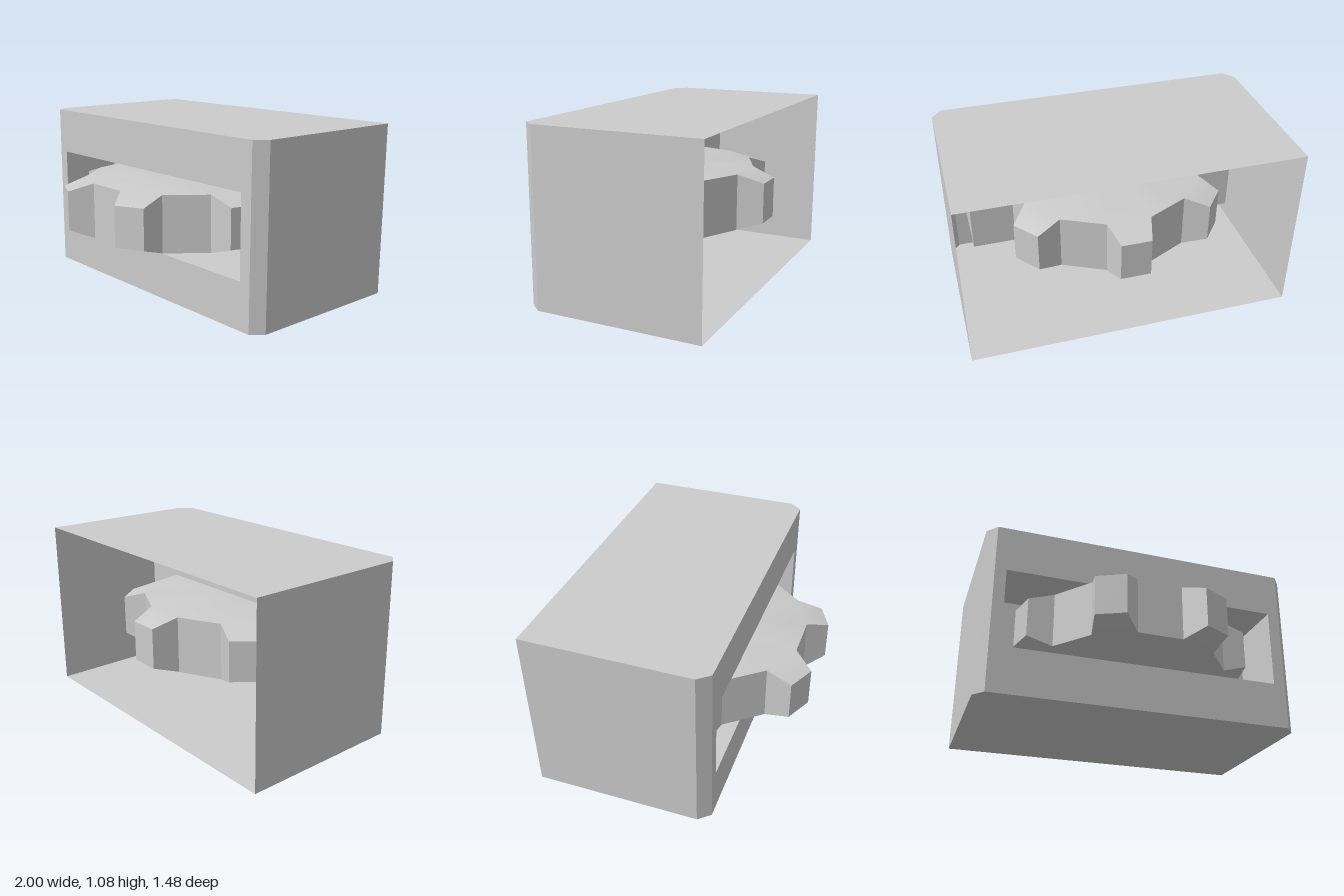
import * as THREE from 'three';
import { toCreasedNormals } from 'three/addons/utils/BufferGeometryUtils.js';

const H = 1.075, BACK = -0.738, FRONT = 0.355, RECESS = -0.05;
const HOLE = { x0: -0.87, x1: 0.865, y0: 0.288, y1: 0.786 };

const shellMat = new THREE.MeshStandardMaterial({ color: 0xcccccc, side: THREE.DoubleSide });
const gearMat = new THREE.MeshStandardMaterial({ color: 0xcccccc });

function add(group, name, geometry, material) {
  const mesh = new THREE.Mesh(geometry, material);
  mesh.name = name;
  group.add(mesh);
  return mesh;
}

// Builds flat-faced geometry from convex polygons given as corner loops
function fromPolygons(polygons) {
  const pos = [];
  for (const p of polygons)
    for (let i = 1; i < p.length - 1; i++) pos.push(...p[0], ...p[i], ...p[i + 1]);
  const geo = new THREE.BufferGeometry();
  geo.setAttribute('position', new THREE.Float32BufferAttribute(pos, 3));
  geo.computeVertexNormals();
  return geo;
}

function createHousing() {
  const g = new THREE.Group();
  g.name = 'housing';

  // Plan outline with chamfered front corners, open at the rear
  const plan = [[-1, BACK], [-1, 0.283], [-0.94, FRONT], [0.94, FRONT], [1, 0.283], [1, BACK]];
  add(g, 'roof', fromPolygons([plan.map(([x, z]) => [x, H, z])]), shellMat);
  add(g, 'floor', fromPolygons([plan.map(([x, z]) => [x, 0, z]).reverse()]), shellMat);

  // Side walls and corner chamfers
  const wall = (a, b) => [[a[0], 0, a[1]], [b[0], 0, b[1]], [b[0], H, b[1]], [a[0], H, a[1]]];
  add(g, 'rightWall', fromPolygons([wall(plan[0], plan[1]), wall(plan[1], plan[2])]), shellMat);
  add(g, 'leftWall', fromPolygons([wall(plan[3], plan[4]), wall(plan[4], plan[5])]), shellMat);

  // Front face with the window cut out
  const { x0, x1, y0, y1 } = HOLE;
  const rim = [[x0, y0], [x1, y0], [x1, y1], [x0, y1]];
  const vectors = (points) => points.map(([x, y]) => new THREE.Vector2(x, y));
  const face = new THREE.Shape(vectors([[-0.94, 0], [0.94, 0], [0.94, H], [-0.94, H]]));
  face.holes.push(new THREE.Path(vectors(rim).reverse()));
  add(g, 'frontFace', new THREE.ShapeGeometry(face), shellMat).position.z = FRONT;

  // Recess behind the window: four walls and a back
  add(g, 'recessWalls', fromPolygons(rim.map((a, i) => {
    const b = rim[(i + 1) % 4];
    return [[...a, FRONT], [...b, FRONT], [...b, RECESS], [...a, RECESS]];
  })), shellMat);
  add(g, 'recessBack', fromPolygons([rim.map((p) => [...p, RECESS])]), shellMat);
  return g;
}

function createGear() {
  const teeth = 7, root = 0.615, tip = 0.759, rootY = 0.173, tipY = 0.123;
  const deg = Math.PI / 180, pitch = 2 * Math.PI / teeth;
  const base = pitch / 2 - 13.1 * deg, top = 7 * deg;
  const point = (r, a, y) => [r * Math.sin(a), y, r * Math.cos(a)];
  const polygons = [];

  for (let i = 0; i < teeth; i++) {
    const mid = (i + 0.5) * pitch;
    // Corner loop of one tooth and the valley after it
    const loop = [[root, mid - base, rootY], [tip, mid - top, tipY], [tip, mid + top, tipY],
      [root, mid + base, rootY], [root, mid + pitch - base, rootY]];
    const up = loop.map(([r, a, y]) => point(r, a, y));
    const down = loop.map(([r, a, y]) => point(r, a, -y));
    for (let k = 0; k < 4; k++) polygons.push([down[k], down[k + 1], up[k + 1], up[k]]);
    // Bevelled tooth faces and flat hub sectors
    polygons.push(up.slice(0, 4), down.slice(0, 4).reverse());
    polygons.push([[0, rootY, 0], up[0], up[3], up[4]], [[0, -rootY, 0], down[4], down[3], down[0]]);
  }
  return toCreasedNormals(fromPolygons(polygons), 0.6);
}

export function createModel() {
  const model = new THREE.Group();
  model.name = 'gearInHousing';
  model.add(createHousing());
  add(model, 'gear', createGear(), gearMat).position.set(-0.002, 0.537, 0.021);
  return model;
}
